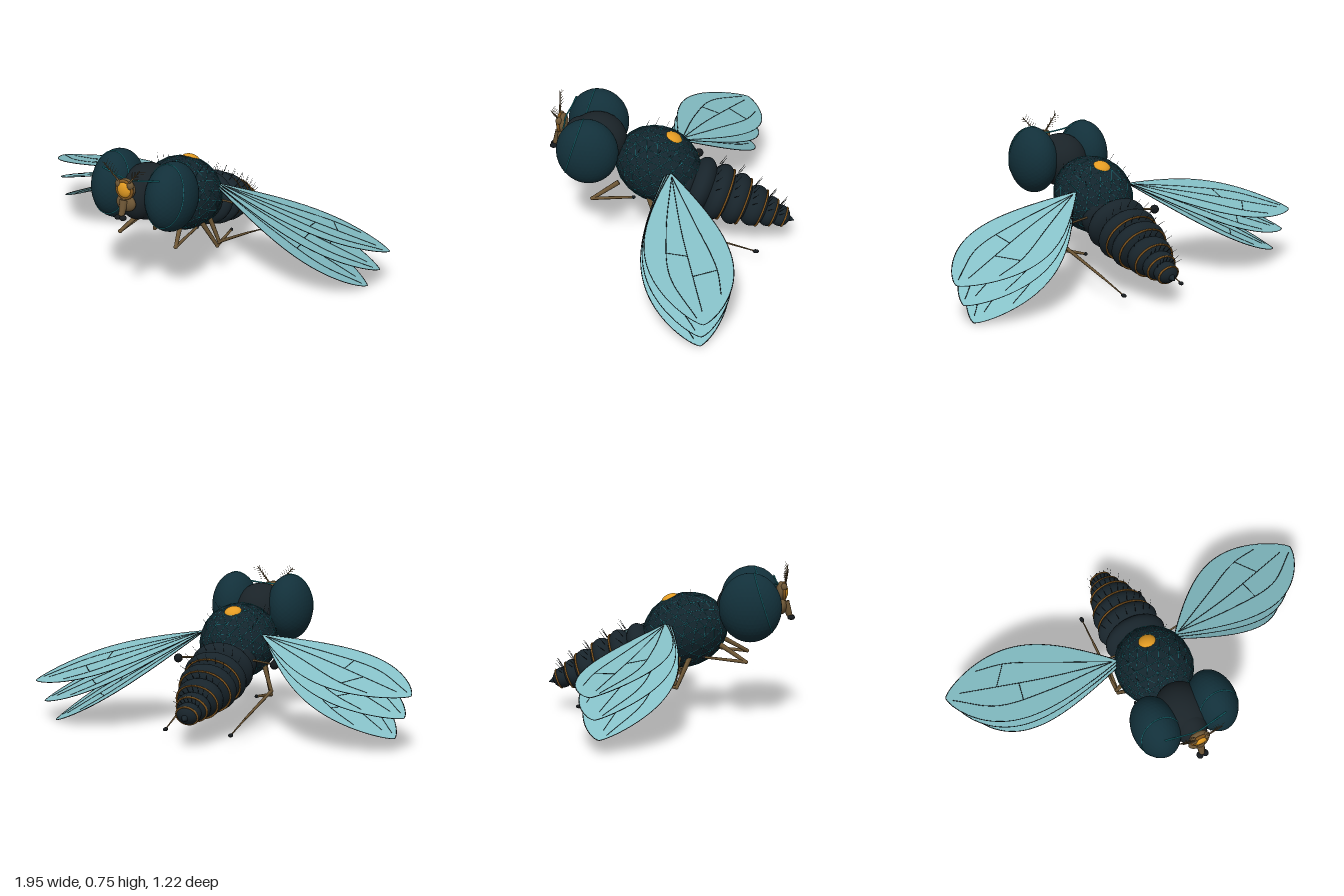
import * as THREE from 'three';
import { mergeGeometries } from 'three/addons/utils/BufferGeometryUtils.js';

const V = (x, y, z) => new THREE.Vector3(x, y, z);
const mat = (color, extra = {}) => new THREE.MeshStandardMaterial({ color, ...extra });
const M = {
  eye: mat(0x12303a, { flatShading: true }),
  head: mat(0x1a2328),
  thorax: mat(0x13252d, { flatShading: true }),
  abdomen: mat(0x18242b),
  teal: mat(0x1f8b95),
  band: mat(0x85581f),
  gold: mat(0xe39b22),
  brown: mat(0x6d5635),
  dark: mat(0x15191c),
  wing: mat(0x86c1c8, { side: THREE.DoubleSide }),
};

function add(parent, name, geometry, material, pos = V(0, 0, 0)) {
  const mesh = new THREE.Mesh(geometry, material);
  mesh.name = name;
  mesh.position.copy(pos);
  parent.add(mesh);
  return mesh;
}

function ball(parent, name, material, pos, rx, ry = rx, rz = rx, tilt = 0) {
  const mesh = add(parent, name, new THREE.SphereGeometry(1, 24, 16), material, pos);
  mesh.scale.set(rx, ry, rz);
  mesh.rotation.x = tilt;
  return mesh;
}

// Tapered rod between two points
function rod(a, b, r0, r1 = r0, sides = 6) {
  const d = b.clone().sub(a);
  const g = new THREE.CylinderGeometry(r1, r0, d.length(), sides, 1);
  g.applyQuaternion(new THREE.Quaternion().setFromUnitVectors(V(0, 1, 0), d.normalize()));
  return g.translate((a.x + b.x) / 2, (a.y + b.y) / 2, (a.z + b.z) / 2);
}

const tube = (pts, r, closed = false) =>
  new THREE.TubeGeometry(new THREE.CatmullRomCurve3(pts, closed), pts.length * 6, r, 4, closed);

// Teardrop blade along +x, leading edge on +z
function wing(name, droop) {
  const g = new THREE.Group();
  g.name = name;
  const L = 0.89, N = 40;
  const half = t => 0.208 * Math.pow(Math.sin(Math.PI * Math.pow(t, 1.3)), 0.72);
  const at = (t, s) => V(L * t, 0, half(t) * s);
  const outline = [];
  for (let i = 0; i < N; i++) {
    const a = (i / N) * Math.PI * 2;
    outline.push(at((1 - Math.cos(a)) / 2, a < Math.PI ? 1 : -1));
  }
  const shape = new THREE.Shape(outline.map(p => new THREE.Vector2(p.x, -p.z)));
  add(g, 'wingMembrane', new THREE.ShapeGeometry(shape).rotateX(-Math.PI / 2), M.wing);
  add(g, 'wingRim', tube(outline, 0.0018, true), M.dark);
  const veins = [
    [at(0.03, 0), at(0.4, 0.45), at(0.7, 0.55), at(0.96, 0.4)],
    [at(0.03, 0), at(0.4, 0.05), at(0.7, 0), at(0.92, -0.1)],
    [at(0.03, 0), at(0.35, -0.4), at(0.65, -0.6), at(0.82, -0.75)],
    [at(0.55, 0.5), at(0.57, 0.03)],
    [at(0.7, 0), at(0.66, -0.6)],
  ];
  add(g, 'wingVeins', mergeGeometries(veins.map(v => tube(v, 0.0018))), M.dark);
  g.rotation.set(-0.25, 0.31, -droop, 'ZXY');
  return g;
}

export function createModel() {
  const fly = new THREE.Group();
  fly.name = 'fly';
  const tilt = -0.38;

  // Thorax with a raised triangular lattice
  const thoraxPos = V(0, 0.435, 0.07);
  const shell = new THREE.IcosahedronGeometry(1, 3).scale(0.193, 0.183, 0.215);
  add(fly, 'thorax', shell, M.thorax, thoraxPos).rotation.x = tilt;
  const e = new THREE.EdgesGeometry(shell, 0.1).attributes.position;
  const edges = [];
  for (let i = 0; i < e.count; i += 2) {
    const [a, b] = [i, i + 1].map(k => new THREE.Vector3().fromBufferAttribute(e, k));
    edges.push(rod(a, b, 0.0012, 0.0012, 3));
  }
  add(fly, 'thoraxLattice', mergeGeometries(edges), M.teal, thoraxPos).rotation.x = tilt;

  // Gold dome and rings on the back
  const back = new THREE.Group();
  back.name = 'backDome';
  back.position.set(0, 0.575, 0);
  back.rotation.x = -0.42;
  fly.add(back);
  ball(back, 'dome', M.gold, V(0, 0.012, 0), 0.045, 0.026, 0.045);
  const ring = (name, r, w, m, y) =>
    add(back, name, new THREE.TorusGeometry(r, w, 6, 40).rotateX(Math.PI / 2), m, V(0, y, 0));
  ring('domeCollar', 0.048, 0.009, M.band, 0.005);
  ring('innerRing', 0.085, 0.003, M.teal, -0.008);
  ring('outerRing', 0.122, 0.003, M.teal, -0.028);

  // Head
  ball(fly, 'head', M.head, V(0, 0.555, 0.37), 0.13, 0.135, 0.145);
  ball(fly, 'muzzle', M.head, V(0, 0.555, 0.45), 0.085, 0.11, 0.09);
  ball(fly, 'face', M.brown, V(0, 0.56, 0.545), 0.052, 0.042, 0.025);
  ball(fly, 'foreheadMount', M.brown, V(0, 0.63, 0.54), 0.048, 0.05, 0.024);
  ball(fly, 'foreheadJewel', M.gold, V(0, 0.63, 0.557), 0.038, 0.04, 0.018);
  add(fly, 'foreheadRing', new THREE.TorusGeometry(0.042, 0.008, 6, 28), M.band, V(0, 0.63, 0.557));
  add(fly, 'proboscis', rod(V(0, 0.58, 0.56), V(0, 0.51, 0.585), 0.022, 0.014, 10), M.brown);
  add(fly, 'brow', tube([V(-0.16, 0.69, 0.505), V(-0.08, 0.675, 0.515), V(0, 0.668, 0.525),
    V(0.08, 0.675, 0.515), V(0.16, 0.69, 0.505)], 0.004), M.teal);

  // Abdomen: overlapping segments [z, radius], later ones banded
  const axisY = z => 0.165 + 0.36 * (z + 0.6);
  const segs = [[-0.06, 0.145], [-0.14, 0.16], [-0.23, 0.16], [-0.32, 0.146],
    [-0.41, 0.116], [-0.485, 0.085], [-0.54, 0.06]];
  const hairs = [];
  segs.forEach(([z, r], i) => {
    ball(fly, 'abdomenSegment', M.abdomen, V(0, axisY(z), z), r, r * 0.86, i < 5 ? 0.074 : 0.052, -0.35);
    if (i < 2) return;
    const zb = z - (i < 5 ? 0.036 : 0.022), rb = r * 0.9;
    const band = add(fly, 'abdomenBand', new THREE.TorusGeometry(rb, 0.005, 6, 40), M.band, V(0, axisY(zb), zb));
    band.scale.y = 0.86;
    band.rotation.x = -0.35;
    for (let k = -3; k <= 3; k++) {
      const a = k * 0.3, s = Math.sin(a), c = Math.cos(a);
      const p = V(s * r * 0.97, axisY(z) + c * r * 0.86, z);
      hairs.push(rod(p, p.clone().add(V(s * 0.03, c * 0.045, -0.03)), 0.0016, 0.0006, 3));
    }
  });
  add(fly, 'tailTip', rod(V(0, 0.187, -0.545), V(0, 0.163, -0.612), 0.042, 0.001, 16), M.abdomen);

  // Paired parts; wing droop differs a little from side to side
  for (const s of [1, -1]) {
    const side = new THREE.Group();
    side.name = s > 0 ? 'leftSide' : 'rightSide';
    side.scale.x = s;
    fly.add(side);

    // Compound eye with a teal hoop
    const eye = new THREE.Group();
    eye.name = 'eye';
    eye.position.set(0.152, 0.57, 0.393);
    eye.scale.set(0.114, 0.168, 0.152);
    side.add(eye);
    add(eye, 'eyeball', new THREE.IcosahedronGeometry(1, 7), M.eye);
    const n = V(0, 0.33, 0.94).normalize();
    add(eye, 'eyeHoop', new THREE.TorusGeometry(0.9, 0.016, 5, 48), M.teal, n.clone().multiplyScalar(0.44))
      .quaternion.setFromUnitVectors(V(0, 0, 1), n);

    // Antenna with fine side bristles
    const a0 = V(0.025, 0.665, 0.56), a1 = V(0.1, 0.75, 0.574);
    const antenna = [rod(a0, a1, 0.005, 0.002, 5)];
    for (let k = 2; k < 8; k++) {
      const p = a0.clone().lerp(a1, k / 8);
      antenna.push(rod(p, p.clone().add(V(0.03, 0.004, -0.012)), 0.0014, 0.0006, 3));
      antenna.push(rod(p, p.clone().add(V(-0.008, 0.03, -0.012)), 0.0014, 0.0006, 3));
    }
    add(side, 'antenna', mergeGeometries(antenna), M.brown);
    ball(side, 'antennaBase', M.brown, V(0.032, 0.655, 0.555), 0.017, 0.02, 0.016);
    ball(side, 'mouthPad', M.dark, V(0.014, 0.503, 0.592), 0.016, 0.012, 0.018);

    // Legs: hip, knee, ankle and foot
    const legs = {
      frontLeg: [V(0.11, 0.38, 0.25), V(0.16, 0.305, 0.375), V(0.15, 0.325, 0.17)],
      middleLeg: [V(0.13, 0.32, 0.1), V(0.185, 0.18, 0.04), V(0.17, 0.2, -0.12)],
      hindLeg: [V(0.14, 0.34, 0.05), V(0.19, 0.2, 0.03), V(0.175, 0.12, -0.28), V(0.168, 0.075, -0.44)],
    };
    for (const [name, p] of Object.entries(legs)) {
      const bones = p.slice(1).map((q, i) => rod(p[i], q, 0.013 - i * 0.004, 0.009 - i * 0.003, 7));
      add(side, name, mergeGeometries(bones), M.brown);
      ball(side, 'knee', M.brown, p[1], 0.01);
      const hind = name === 'hindLeg';
      ball(side, 'foot', M.dark, p[p.length - 1], hind ? 0.011 : 0.008, 0.009, hind ? 0.016 : 0.01);
    }

    // Balancer knob
    add(side, 'balancerStalk', rod(V(0.13, 0.37, -0.08), V(0.252, 0.36, -0.1), 0.005), M.brown);
    ball(side, 'balancerKnob', M.dark, V(0.255, 0.357, -0.1), 0.022);

    // Three fanned wings
    ['upperWing', 'middleWing', 'lowerWing'].forEach((name, i) => {
      const w = wing(name, (s > 0 ? 0.235 : 0.15) + i * 0.131);
      w.position.set(0.155, 0.487, -0.015 + i * 0.012);
      side.add(w);
    });

    // Shoulder bristles
    for (let k = 0; k < 5; k++) {
      const z = 0.16 - k * 0.05, p = V(0.11, 0.585 - Math.abs(k - 1) * 0.022, z);
      hairs.push(rod(V(p.x * s, p.y - 0.02, z), V((p.x + 0.025) * s, p.y + 0.035, z - 0.025), 0.0016, 0.0006, 3));
    }
  }
  add(fly, 'bristles', mergeGeometries(hairs), M.dark);
  return fly;
}
